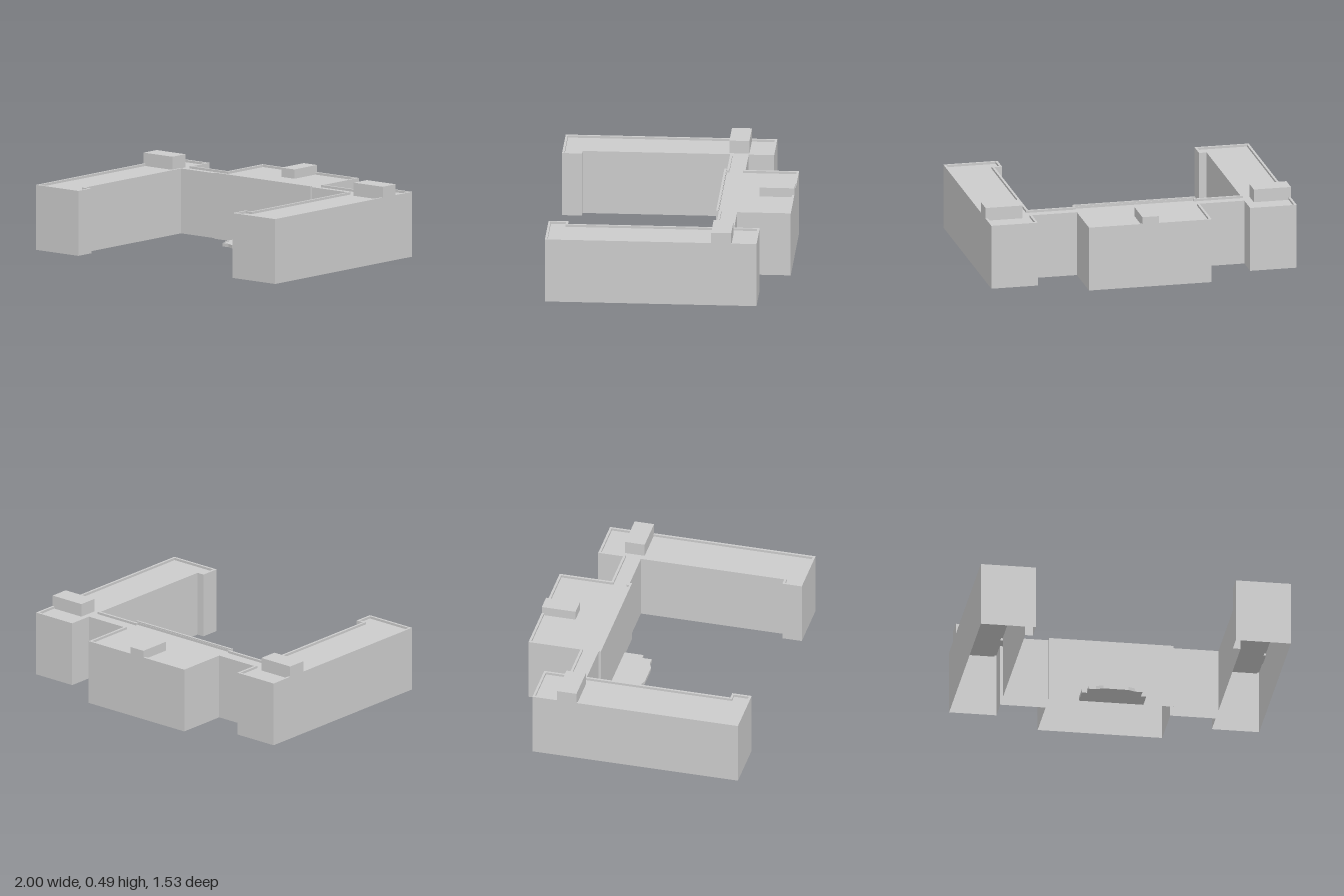
import * as THREE from 'three';

const WALL_TOP = 0.42, ROOF = 0.405, RIM = 0.015;

// Rectilinear outline offset inwards by d (points are [x, z], clockwise from above)
function inset(points, d) {
  const n = points.length;
  const inward = (a, b) => {
    const dx = b[0] - a[0], dz = b[1] - a[1], l = Math.hypot(dx, dz);
    return [-dz / l, dx / l];
  };
  return points.map((p, i) => {
    const u = inward(points[(i + n - 1) % n], p);
    const v = inward(p, points[(i + 1) % n]);
    return [p[0] + d * (u[0] + v[0]), p[1] + d * (u[1] + v[1])];
  });
}

// Closed flat-faced surface between successive rings { points, y }
function loft(rings) {
  const pos = [];
  for (let r = 0; r < rings.length - 1; r++) {
    const A = rings[r], B = rings[r + 1], n = A.points.length;
    for (let i = 0; i < n; i++) {
      const j = (i + 1) % n;
      const at = (ring, k) => [ring.points[k][0], ring.y, ring.points[k][1]];
      const a0 = at(A, i), a1 = at(B, i), b1 = at(B, j), b0 = at(A, j);
      pos.push(...a0, ...a1, ...b1, ...a0, ...b1, ...b0);
    }
  }
  const g = new THREE.BufferGeometry();
  g.setAttribute('position', new THREE.Float32BufferAttribute(pos, 3));
  g.computeVertexNormals();
  return g;
}

const toShape = (points) => new THREE.Shape(points.map(([x, z]) => new THREE.Vector2(x, -z)));
const mirrored = (half) => [...half, ...half.map(([x, z]) => [-x, z]).reverse()];

export function createModel() {
  const model = new THREE.Group();
  const material = new THREE.MeshStandardMaterial({
    color: 0xcccccc, flatShading: true, side: THREE.DoubleSide,
  });
  const add = (name, geometry) => {
    const mesh = new THREE.Mesh(geometry, material);
    mesh.name = name;
    model.add(mesh);
    return mesh;
  };
  const block = (name, x0, x1, y0, y1, z0, z1) =>
    add(name, new THREE.BoxGeometry(x1 - x0, y1 - y0, z1 - z0))
      .position.set((x0 + x1) / 2, (y0 + y1) / 2, (z0 + z1) / 2);

  // Plan: central block, links and two long wings with a small foot at the front
  const outline = mirrored([
    [0.402, -0.767], [0.402, -0.425], [0.695, -0.425], [0.695, -0.588],
    [1, -0.588], [1, 0.765], [0.645, 0.765], [0.645, 0.637],
    [0.695, 0.637], [0.695, -0.307], [0.402, -0.307], [0.402, -0.29],
  ]);
  const inner = inset(outline, RIM);

  // Outer walls (open below), parapet rim and its inner face
  add('wallsAndParapet', loft([
    { points: outline, y: 0 },
    { points: outline, y: WALL_TOP },
    { points: inner, y: WALL_TOP },
    { points: inner, y: ROOF },
  ]));

  // Roof deck sunk behind the parapet
  add('roofDeck', new THREE.ShapeGeometry(toShape(inner)).rotateX(-Math.PI / 2).translate(0, ROOF, 0));

  // Slightly raised parapet along the central front
  block('frontParapet', -0.402, 0.402, ROOF, 0.428, -0.303, -0.29);

  // Rooftop housings
  block('centralRoofHousing', -0.058, 0.052, ROOF, 0.465, -0.767, -0.545);
  for (const s of [-1, 1]) {
    const xs = [s * 0.757, s].sort((a, b) => a - b);
    block(s > 0 ? 'leftRoofHousing' : 'rightRoofHousing', xs[0], xs[1], ROOF, 0.49, -0.426, -0.298);
  }

  // Low entrance terrace
  const terrace = mirrored([
    [0.208, -0.29], [0.208, -0.165], [0.174, -0.165], [0.174, -0.102],
    [0.125, -0.102], [0.08, -0.083],
  ]);
  add('entranceTerrace', new THREE.ExtrudeGeometry(toShape(terrace), { depth: 0.022, bevelEnabled: false })
    .rotateX(-Math.PI / 2));

  return model;
}
